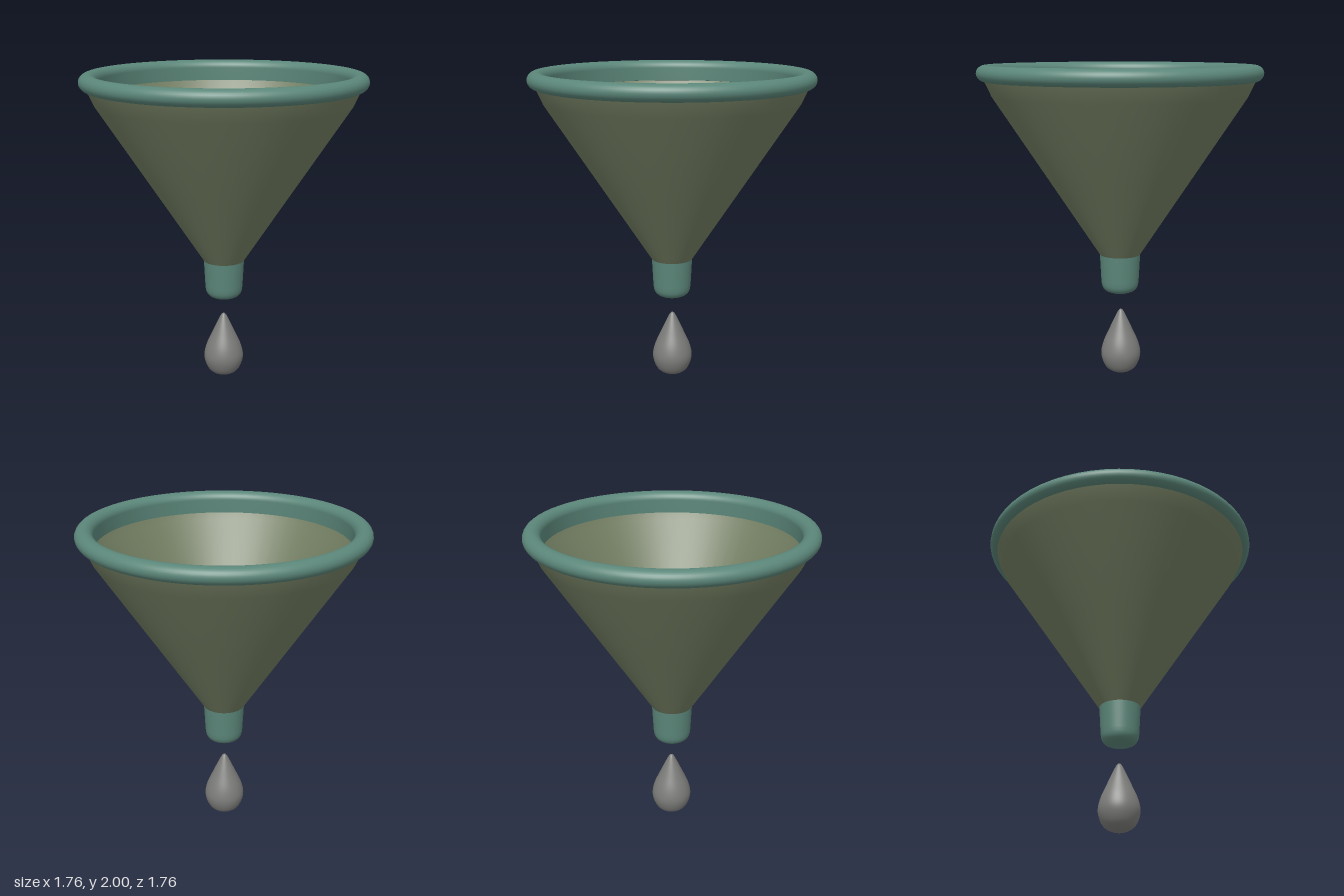
import * as THREE from 'three';

const olive = new THREE.MeshStandardMaterial({ color: 0x727d61, side: THREE.DoubleSide });
olive.name = 'olive';
const teal = new THREE.MeshStandardMaterial({ color: 0x5b8679 });
teal.name = 'teal';
const grey = new THREE.MeshStandardMaterial({ color: 0x7c7c7a });
grey.name = 'grey';

const SEGMENTS = 64;

// Turns a profile of [radius, height] pairs around the y axis
function turned(name, profile, material) {
  const points = profile.map(([r, y]) => new THREE.Vector2(r, y));
  const mesh = new THREE.Mesh(new THREE.LatheGeometry(points, SEGMENTS), material);
  mesh.name = name;
  return mesh;
}

// Samples a smooth curve through a few profile points
function smooth(profile, count) {
  const curve = new THREE.SplineCurve(profile.map(([r, y]) => new THREE.Vector2(r, y)));
  return curve.getPoints(count).map((p) => [Math.max(0, p.x), p.y]);
}

export function createModel() {
  const group = new THREE.Group();
  group.name = 'funnelWithDrop';

  // Thin cone wall, slightly steeper just under the rim
  group.add(turned('cone', [[0.13, 0.8], [0.46, 1.305], [0.79, 1.81], [0.835, 1.91]], olive));

  // Rolled rim, with a lip that overhangs the inside of the cone
  const rim = [];
  for (let i = 0; i <= 24; i++) {
    const a = -Math.PI / 2 - 0.3 + (i / 24) * (Math.PI * 1.5 + 0.3);
    rim.push([0.825 + 0.055 * Math.cos(a), 1.95 + 0.05 * Math.sin(a)]);
  }
  rim.push([0.77, 1.865]);
  group.add(turned('rim', rim, teal));
  group.add(turned('rimLipUnderside', [[0.77, 1.865], [0.812, 1.86]], teal));

  // Spout with a rounded, closed end
  const spoutEnd = smooth([[0.121, 0.63], [0.115, 0.59], [0.095, 0.562], [0.05, 0.545], [0, 0.54]], 14);
  group.add(turned('spoutOutside', [...spoutEnd.reverse(), [0.13, 0.8]], teal));
  group.add(turned('spoutInside', [[0.13, 0.8], [0.115, 0.77], [0.1, 0.6]], teal));
  const floor = new THREE.Mesh(new THREE.CircleGeometry(0.1, SEGMENTS), olive);
  floor.name = 'spoutFloor';
  floor.rotation.x = -Math.PI / 2;
  floor.position.y = 0.6;
  group.add(floor);

  // Falling drop
  const profile = smooth([
    [0, 0], [0.05, 0.009], [0.1, 0.044], [0.128, 0.12], [0.116, 0.2],
    [0.073, 0.3], [0.034, 0.385], [0.014, 0.422], [0, 0.432],
  ], 40);
  const drop = turned('drop', profile, grey);
  drop.position.z = -0.005;
  group.add(drop);

  return group;
}
